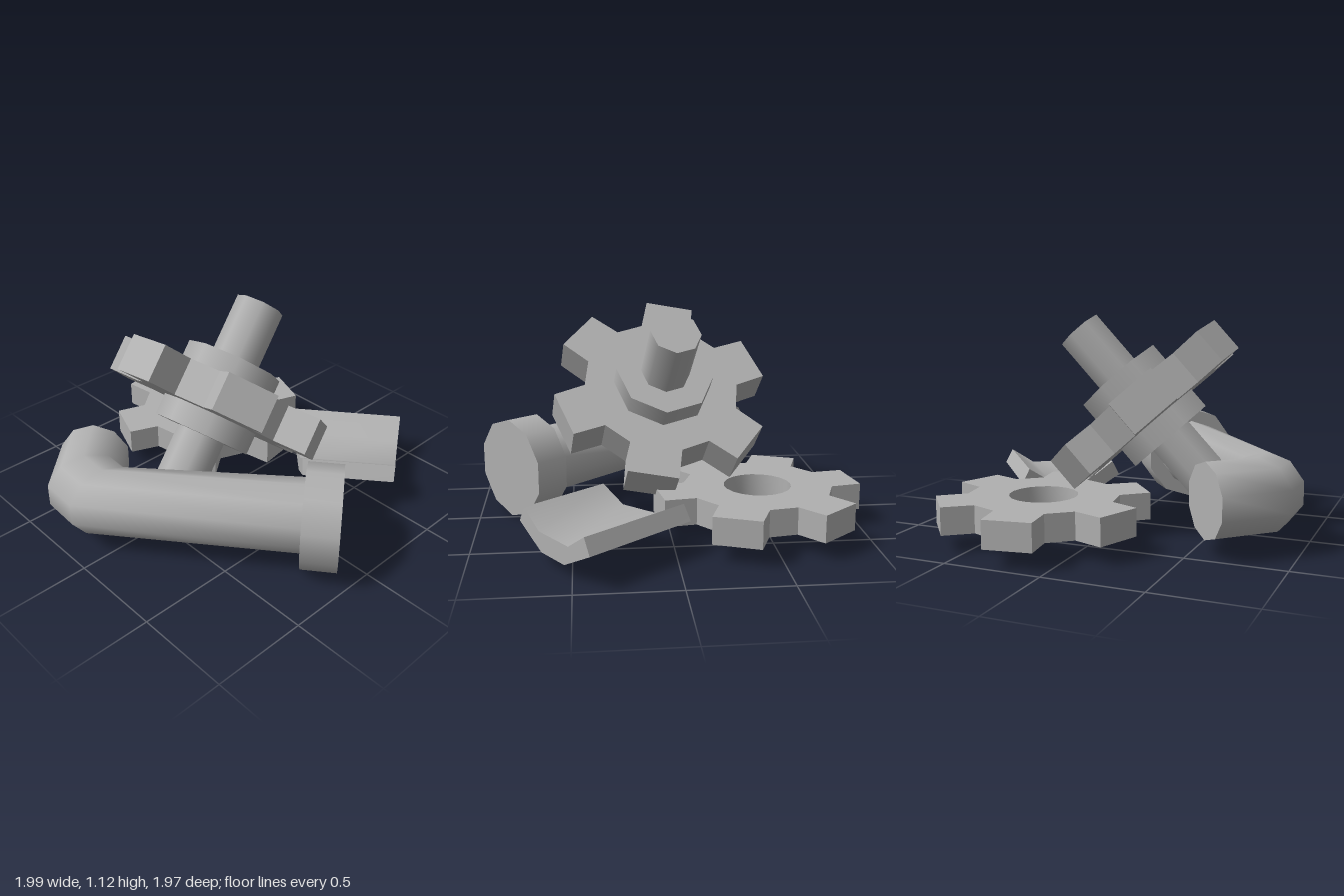
import * as THREE from 'three';
import { toCreasedNormals } from 'three/addons/utils/BufferGeometryUtils.js';

const rad = THREE.MathUtils.degToRad;
const steel = new THREE.MeshStandardMaterial({ color: 0xb0b0b0 });
steel.name = 'grey steel';

function part(name, geometry) {
  const mesh = new THREE.Mesh(geometry, steel);
  mesh.name = name;
  return mesh;
}

// Six-toothed gear lying flat, centred on its own origin
function gearGeometry(tip, root, thickness, turn, hole) {
  const pts = [];
  for (let i = 0; i < 6; i++) {
    for (const [r, a] of [[root, -19], [tip, -13], [tip, 13], [root, 19]]) {
      const angle = rad(i * 60 + turn + a);
      pts.push(new THREE.Vector2(r * Math.cos(angle), r * Math.sin(angle)));
    }
  }
  const shape = new THREE.Shape(pts);
  if (hole) shape.holes.push(new THREE.Path().absarc(0, 0, hole, 0, Math.PI * 2, true));
  const geo = new THREE.ExtrudeGeometry(shape, { depth: thickness, bevelEnabled: false, curveSegments: 10 });
  return toCreasedNormals(geo.translate(0, 0, -thickness / 2).rotateX(Math.PI / 2), rad(40));
}

// Bent pipe: a ten-sided cylinder whose rings are moved onto the bend
function pipeGeometry(rings, centreY, radius) {
  const geo = new THREE.CylinderGeometry(1, 1, rings.length - 1, 10, rings.length - 1);
  const pos = geo.attributes.position;
  const nor = geo.attributes.normal;
  for (let i = 0; i < pos.count; i++) {
    const k = Math.round(pos.getY(i) + (rings.length - 1) / 2);
    const [ox, oz, ix, iz] = rings[k]; // outer and inner side of the ring in plan
    const side = new THREE.Vector3(ox - ix, 0, oz - iz).multiplyScalar(0.5 / 0.951);
    const x = pos.getX(i), z = pos.getZ(i);
    pos.setXYZ(i, (ox + ix) / 2 + x * side.x, centreY + z * radius, (oz + iz) / 2 + x * side.z);
    side.normalize();
    const along = new THREE.Vector3(side.z, 0, -side.x);
    const nx = nor.getX(i), ny = nor.getY(i);
    nor.setXYZ(i, nx * side.x + ny * along.x, nor.getZ(i), nx * side.z + ny * along.z);
  }
  return geo;
}

// Trough-shaped plate: a bent strip profile swept between two slanted ends
function plateGeometry() {
  const profile = [[0, 0.17], [0.35, 0.065], [0.68, 0.065], [1, 0.17],
    [0.93, 0.25], [0.71, 0.165], [0.29, 0.165], [0.07, 0.25]];
  const shape = new THREE.Shape(profile.map(([f, y]) => new THREE.Vector2(f, y)));
  const geo = new THREE.ExtrudeGeometry(shape, { depth: 1, bevelEnabled: false });
  const pos = geo.attributes.position;
  const lerp = THREE.MathUtils.lerp;
  for (let i = 0; i < pos.count; i++) {
    const f = pos.getX(i), t = pos.getZ(i);
    pos.setX(i, lerp(lerp(0.42, 0.75, f), lerp(-0.07, 0.37, f), t));
    pos.setZ(i, lerp(lerp(-0.99, -0.51, f), lerp(-0.6, -0.2, f), t));
  }
  return toCreasedNormals(geo, rad(40));
}

export function createModel() {
  const model = new THREE.Group();
  model.name = 'scrapPile';
  const up = new THREE.Vector3(0, 1, 0);

  // Loose gear lying flat
  const flatGear = part('flatGear', gearGeometry(0.54, 0.385, 0.14, -9, 0.175));
  flatGear.position.set(-0.46, 0.16, -0.26);
  model.add(flatGear);

  // Leaning gear with hub and axle
  const axleGear = new THREE.Group();
  axleGear.name = 'axleGear';
  axleGear.add(
    part('leaningGear', gearGeometry(0.58, 0.415, 0.19, 36, 0)),
    part('hub', new THREE.CylinderGeometry(0.26, 0.26, 0.42, 8)),
    part('axle', new THREE.CylinderGeometry(0.13, 0.13, 1.066, 8)),
  );
  axleGear.quaternion.setFromUnitVectors(up, new THREE.Vector3(-0.1, 0.742, -0.663).normalize());
  axleGear.position.set(0.02, 0.637, 0.1);
  model.add(axleGear);

  // Bent pipe
  model.add(part('pipe', pipeGeometry([
    [-0.57, 0.705, -0.31, 0.46],
    [-0.31, 0.97, -0.18, 0.59],
    [-0.10, 0.98, -0.07, 0.60],
    [0.80, 0.28, 0.58, 0.0],
  ], 0.27, 0.19)));

  // Wide collar closing the pipe; its ring runs outer side to inner side
  model.add(part('pipeCollar', pipeGeometry([
    [0.842, 0.338, 0.53, -0.06],
    [0.988, 0.224, 0.672, -0.174],
  ], 0.268, 0.268)));

  // Bent plate
  model.add(part('troughPlate', plateGeometry()));
  return model;
}
